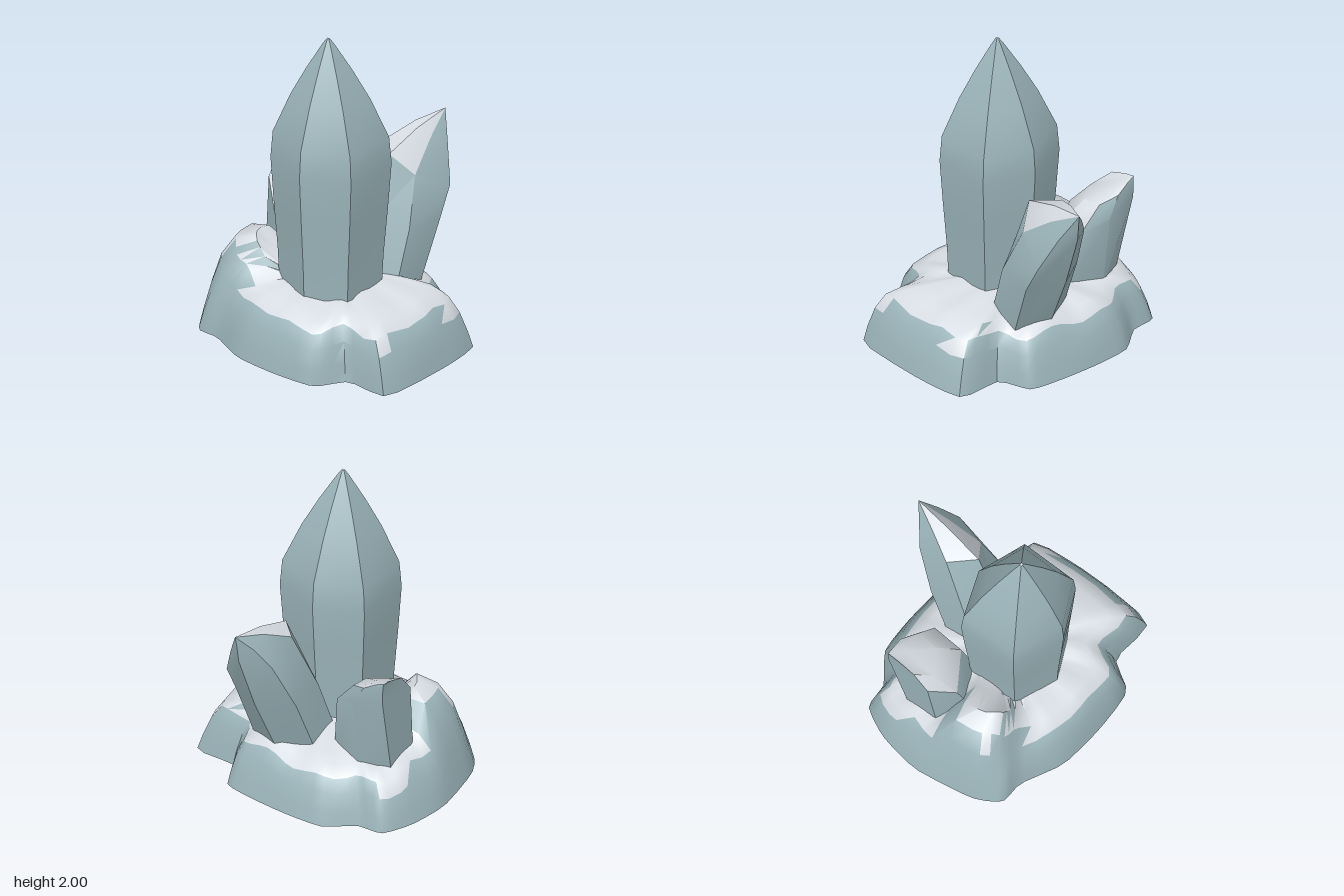
import * as THREE from 'three';
import { toCreasedNormals } from 'three/addons/utils/BufferGeometryUtils.js';

const mineral = new THREE.MeshStandardMaterial({ color: 0x9ab3b9 });
mineral.name = 'blueGreyMineral';
const frost = new THREE.MeshStandardMaterial({ color: 0xd8dee4 });
frost.name = 'paleFrost';

const V = (x, y, z) => new THREE.Vector3(x, y, z);

// Skin rings of points (counter-clockwise from above, listed bottom to top).
// Faces that look upward become frost, all others mineral.
function loft(name, rings, crease, frostLimit = 0.55) {
  const sides = [], tops = [];
  const tri = (a, b, c) => {
    const n = b.clone().sub(a).cross(c.clone().sub(a));
    if (n.length() < 1e-7) return;
    const list = n.normalize().y > frostLimit ? tops : sides;
    list.push(...a.toArray(), ...b.toArray(), ...c.toArray());
  };
  for (let r = 0; r + 1 < rings.length; r++) {
    const lo = rings[r], hi = rings[r + 1], count = lo.length;
    for (let i = 0; i < count; i++) {
      const j = (i + 1) % count;
      tri(lo[i], lo[j], hi[j]);
      tri(lo[i], hi[j], hi[i]);
    }
  }
  let geo = new THREE.BufferGeometry();
  geo.setAttribute('position', new THREE.Float32BufferAttribute([...sides, ...tops], 3));
  geo = toCreasedNormals(geo, crease);
  geo.clearGroups();
  geo.addGroup(0, sides.length / 3, 0);
  geo.addGroup(sides.length / 3, tops.length / 3, 1);
  const mesh = new THREE.Mesh(geo, [mineral, frost]);
  mesh.name = name;
  return mesh;
}

const toward = (ring, point, t, lift = 0) =>
  ring.map((p) => p.clone().lerp(point, t).add(V(0, lift, 0)));
const collapse = (ring, point) => ring.map(() => point.clone());

// Tall upright hexagonal crystal
function tallCrystal() {
  const outline = [[0.15, 0.03], [0.05, -0.26], [-0.33, -0.27], [-0.46, 0.04], [-0.34, 0.32], [0.03, 0.33]];
  const levels = [[0.3, 0.85], [0.6, 0.89], [0.9, 0.96], [1.2, 1.02], [1.37, 0.98],
    [1.62, 0.67], [1.8, 0.39], [1.96, 0.11], [2.0, 0.03]];
  const rings = levels.map(([y, s]) => outline.map(([x, z]) =>
    V(-0.17 + (x + 0.17) * s, y, 0.025 + (z - 0.025) * s)));
  rings.push(collapse(rings[0], V(-0.175, 2.0, 0.02)));
  return loft('tallCrystal', rings, 0.6);
}

// Leaning crystal with an oblique chiselled top
function sideCrystal() {
  const base = [V(0.38, 0.3, 0.13), V(0.28, 0.3, -0.08), V(0.06, 0.3, -0.09),
    V(-0.04, 0.3, 0.12), V(0.08, 0.3, 0.32), V(0.3, 0.3, 0.34)];
  const middle = [V(0.56, 0.7, 0.17), V(0.44, 0.7, -0.04), V(0.2, 0.72, -0.04),
    V(0.08, 0.72, 0.14), V(0.2, 0.7, 0.34), V(0.44, 0.68, 0.38)];
  const shoulder = [V(0.69, 1.07, 0.2), V(0.58, 1.02, 0.04), V(0.38, 1.13, 0.03),
    V(0.24, 1.12, 0.16), V(0.32, 0.99, 0.29), V(0.54, 0.87, 0.38)];
  const tip = V(0.715, 1.25, 0.21);
  return loft('sideCrystal', [base, middle, shoulder, toward(shoulder, tip, 0.5, 0.02),
    collapse(base, tip)], 0.6);
}

// Short crystal leaning backward
function backCrystal() {
  const base = [V(0.3, 0.3, -0.38), V(0.22, 0.3, -0.56), V(0, 0.3, -0.57),
    V(-0.1, 0.3, -0.36), V(0, 0.3, -0.15), V(0.2, 0.3, -0.15)];
  const shoulder = [V(0.36, 0.8, -0.38), V(0.35, 0.87, -0.58), V(0.06, 0.82, -0.59),
    V(-0.06, 0.7, -0.46), V(0.08, 0.7, -0.23), V(0.28, 0.73, -0.22)];
  const tip = V(0.345, 1.0, -0.59);
  return loft('backCrystal', [base, shoulder, toward(shoulder, tip, 0.35, 0.06),
    toward(shoulder, tip, 0.75, 0.03), collapse(base, tip)], 0.6);
}

// Lumpy rock with steep sides, a frosted top and a raised mound at the back
function rockBase() {
  const outline = [[0.58, -0.05], [0.58, -0.3], [0.46, -0.48], [0.45, -0.64], [0.27, -0.74],
    [0, -0.79], [-0.37, -0.74], [-0.53, -0.65], [-0.55, -0.5], [-0.68, -0.25], [-0.72, 0.05],
    [-0.71, 0.33], [-0.54, 0.46], [-0.55, 0.75], [-0.04, 0.79], [0.28, 0.75], [0.31, 0.48],
    [0.5, 0.4], [0.55, 0.2]];
  const curve = new THREE.CatmullRomCurve3(outline.map(([x, z]) => V(x, 0, z)), true, 'catmullrom', 0.3);
  const points = curve.getPoints(56).slice(0, 56);
  const levels = [[1, 0.03], [0.975, 0.13], [0.93, 0.25], [0.86, 0.34], [0.75, 0.385],
    [0.6, 0.405], [0.4, 0.425], [0.2, 0.44]];
  const rings = levels.map(([s, y]) => points.map((p) => {
    const wave = Math.sin(p.x * 13 + p.z * 5) * Math.cos(p.z * 11 - p.x * 4);
    const grow = (y - 0.03) / 0.4;
    const k = s * (1 - 0.035 * grow * (1 + wave) * s);
    const x = p.x * k - 0.02 * grow, z = p.z * k;
    const mound = 0.24 * Math.exp(-(((x + 0.24) / 0.2) ** 4) - (((z + 0.48) / 0.2) ** 4));
    const slope = 1 - 0.2 * Math.max(0, x) + 0.09 * wave * s;
    return V(x, 0.03 + (y - 0.03) * slope + mound * Math.min(1, grow * 1.1), z);
  }));
  const bottom = collapse(points, V(-0.05, 0, 0));
  return loft('rockBase', [bottom, ...rings, collapse(points, V(-0.05, 0.44, 0))], 0.8);
}

export function createModel() {
  const model = new THREE.Group();
  model.name = 'crystalCluster';
  model.add(rockBase(), tallCrystal(), sideCrystal(), backCrystal());
  return model;
}
